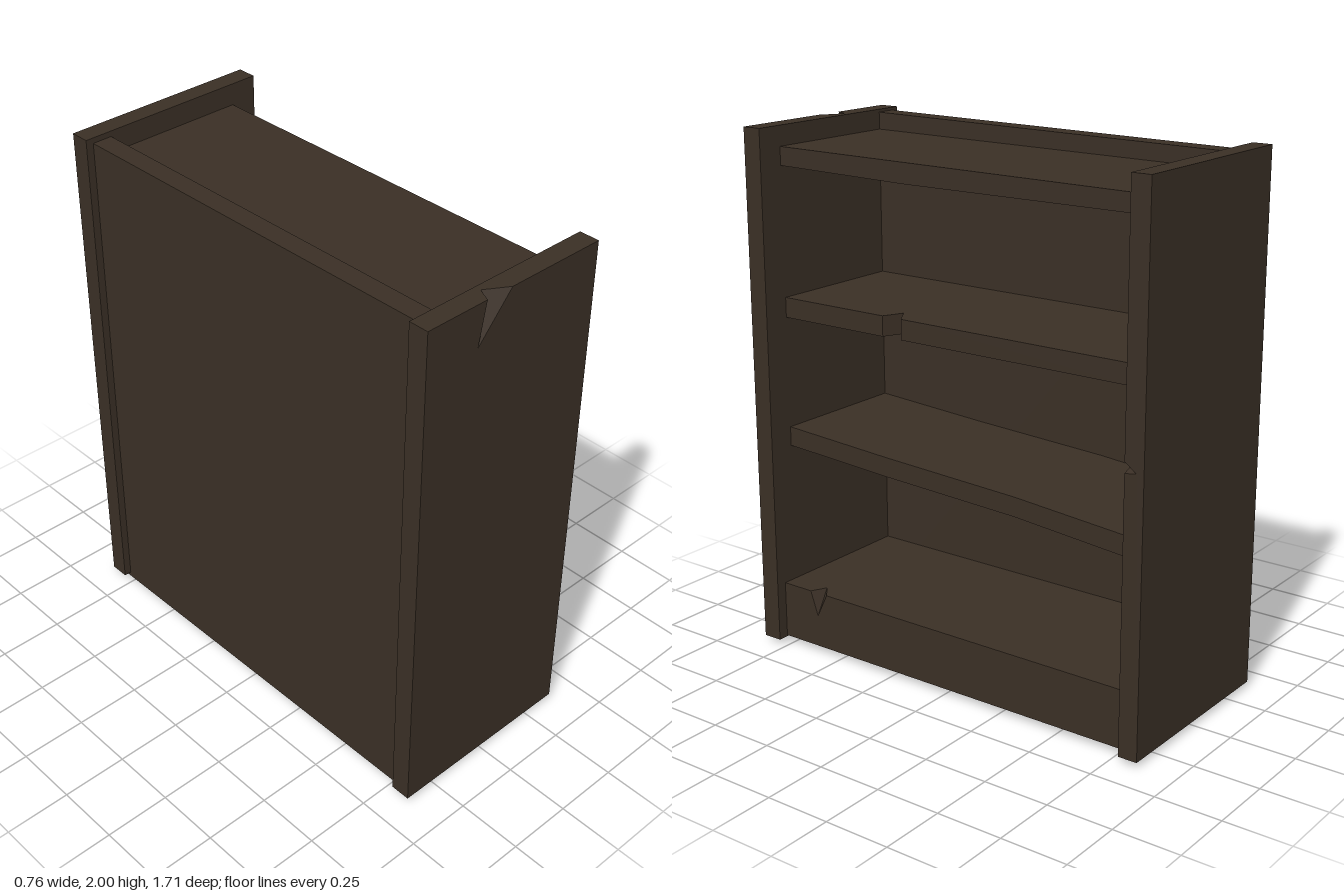
import * as THREE from 'three';

const darkWood = new THREE.MeshStandardMaterial({ color: 0x3a2f25 });
darkWood.name = 'darkWood';
const vec = (a) => new THREE.Vector3(...a);

// Flat polygons, each wound to face its given outward direction
function solid(faces) {
  const pos = [];
  for (const { pts, out } of faces) {
    const n = new THREE.Vector3().crossVectors(
      pts[1].clone().sub(pts[0]), pts[2].clone().sub(pts[0])).normalize();
    const ax = pts[1].clone().sub(pts[0]).normalize();
    const ay = new THREE.Vector3().crossVectors(n, ax);
    const flat = pts.map((p) => new THREE.Vector2(p.dot(ax), p.dot(ay)));
    for (const tri of THREE.ShapeUtils.triangulateShape(flat, [])) {
      let [a, b, c] = tri.map((i) => pts[i]);
      const tn = b.clone().sub(a).cross(c.clone().sub(a));
      if (tn.dot(out) < 0) [b, c] = [c, b];
      for (const p of [a, b, c]) pos.push(p.x, p.y, p.z);
    }
  }
  const g = new THREE.BufferGeometry();
  g.setAttribute('position', new THREE.Float32BufferAttribute(pos, 3));
  g.computeVertexNormals();
  return g;
}

// Board with a splinter missing from one edge. The edge runs from o along u;
// v and w lead away from it across the two faces that meet there.
// a, b: chip ends on the edge; c, d: chip tips on the v face and the w face.
function chippedBoard(o, u, v, w, a, b, c, d) {
  [o, u, v, w, a, b, c, d] = [o, u, v, w, a, b, c, d].map(vec);
  const at = (...dirs) => dirs.reduce((s, e) => s.add(e), o.clone());
  const neg = (e) => e.clone().negate();
  const mid = a.clone().add(b).multiplyScalar(0.5);
  const cavity = (p) => ({
    pts: [p, c, d],
    out: mid.clone().sub(p.clone().add(c).add(d).divideScalar(3)),
  });
  return solid([
    { pts: [a, c, b, at(u), at(u, v), at(v), at()], out: neg(w) },
    { pts: [a, d, b, at(u), at(u, w), at(w), at()], out: neg(v) },
    { pts: [at(v), at(u, v), at(u, v, w), at(v, w)], out: v },
    { pts: [at(w), at(u, w), at(u, v, w), at(v, w)], out: w },
    { pts: [at(), at(v), at(v, w), at(w)], out: neg(u) },
    { pts: [at(u), at(u, v), at(u, v, w), at(u, w)], out: u },
    cavity(a), cavity(b),
  ]);
}

// Board whose outline is given as [z, y] and which spans x0 to x1
function sideProfile(points, x0, x1) {
  const shape = new THREE.Shape(points.map(([z, y]) => new THREE.Vector2(-z, y)));
  return new THREE.ExtrudeGeometry(shape, { depth: x1 - x0, bevelEnabled: false })
    .rotateY(Math.PI / 2).translate(x0, 0, 0);
}

// Board whose outline is given as [x, z] and which spans y0 to y1
function planProfile(points, y0, y1) {
  const shape = new THREE.Shape(points.map(([x, z]) => new THREE.Vector2(x, -z)));
  return new THREE.ExtrudeGeometry(shape, { depth: y1 - y0, bevelEnabled: false })
    .rotateX(-Math.PI / 2).translate(0, y0, 0);
}

export function createModel() {
  const group = new THREE.Group();
  group.name = 'bookcase';
  const add = (name, geometry) => {
    const mesh = new THREE.Mesh(geometry, darkWood);
    mesh.name = name;
    group.add(mesh);
  };

  // Upright end panels: one chipped on top, one on its open edge
  add('frontEndPanel', chippedBoard(
    [-0.383, 1.998, 0.854], [0.761, 0, 0], [0, 0, -0.076], [0, -1.978, 0],
    [-0.13, 1.998, 0.854], [-0.02, 1.998, 0.854],
    [-0.105, 1.998, 0.802], [-0.16, 1.84, 0.854]));
  add('backEndPanel', chippedBoard(
    [0.378, 0.02, -0.78], [0, 1.976, 0], [-0.761, 0, 0], [0, 0, -0.074],
    [0.378, 1.03, -0.78], [0.378, 1.07, -0.78],
    [0.29, 1.065, -0.78], [0.378, 1.037, -0.825]));

  // Rear panel, rising above the top board and reaching the floor
  add('rearPanel', sideProfile(
    [[0.8, 0.01], [-0.82, 0], [-0.82, 1.975], [0.8, 1.987]], -0.354, -0.277));

  // Base block with a chipped upper edge
  add('base', chippedBoard(
    [0.336, 0.245, 0.78], [0, 0, -1.56], [-0.613, 0, 0], [0, -0.22, 0],
    [0.336, 0.245, 0.645], [0.336, 0.245, 0.565],
    [0.277, 0.245, 0.615], [0.336, 0.15, 0.612]));

  // Top board
  add('topBoard', sideProfile(
    [[0.78, 1.853], [0.2, 1.844], [-0.78, 1.848], [-0.78, 1.914], [0.78, 1.922]],
    -0.277, 0.275));

  // Upper shelf with a notch through its open edge
  add('upperShelf', planProfile(
    [[-0.277, 0.78], [0.275, 0.78], [0.275, 0.31], [0.2, 0.275],
      [0.275, 0.225], [0.275, -0.78], [-0.277, -0.78]], 1.288, 1.364));

  // Lower shelf, slipped down at one end and slightly bent
  add('lowerShelf', sideProfile(
    [[0.78, 0.788], [0.3, 0.76], [-0.27, 0.735], [-0.78, 0.692],
      [-0.78, 0.768], [-0.27, 0.808], [0.3, 0.834], [0.78, 0.862]],
    -0.277, 0.275));

  return group;
}
